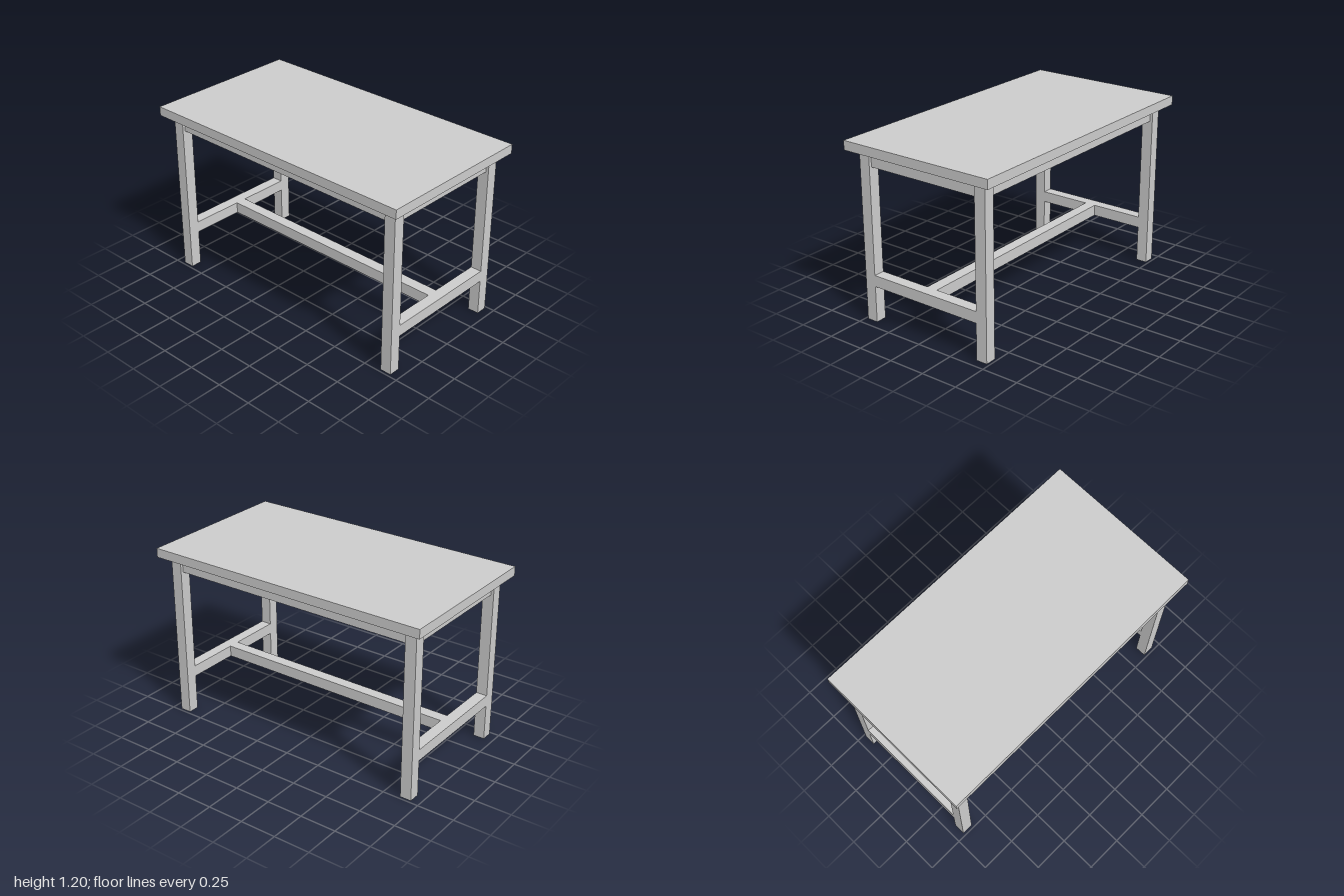
import * as THREE from 'three';

const material = new THREE.MeshStandardMaterial({ color: 0xcccccc });

export function createModel() {
  const model = new THREE.Group();
  model.name = 'table';

  // Box given by its size, its centre in x and z, and its bottom height
  const addBox = (name, [w, h, d], [x, bottom, z]) => {
    const mesh = new THREE.Mesh(new THREE.BoxGeometry(w, h, d), material);
    mesh.name = name;
    mesh.position.set(x, bottom + h / 2, z);
    model.add(mesh);
  };

  const leg = 0.077;                    // square section of legs and stretchers
  const legX = 0.9015, legZ = 0.4435;   // leg centres
  const topBottom = 1.138;              // underside of the table top
  const apronHeight = 0.1, apronThick = 0.04;
  const stretcherY = 0.248;
  const spanX = 2 * legX - leg, spanZ = 2 * legZ - leg;   // clear gaps between legs

  addBox('tableTop', [2, 0.062, 1.1], [0, topBottom, 0]);

  for (const s of [1, -1]) {
    const side = s > 0 ? 'left' : 'right';
    const end = s > 0 ? 'front' : 'back';

    // Legs
    addBox(side + 'FrontLeg', [leg, topBottom, leg], [s * legX, 0, legZ]);
    addBox(side + 'BackLeg', [leg, topBottom, leg], [s * legX, 0, -legZ]);

    // Aprons under the top, centred on the legs
    addBox(end + 'Apron', [spanX, apronHeight, apronThick], [0, topBottom - apronHeight, s * legZ]);
    addBox(side + 'Apron', [apronThick, apronHeight, spanZ], [s * legX, topBottom - apronHeight, 0]);

    // Side stretchers, flush with the legs
    addBox(side + 'Stretcher', [leg, leg, spanZ], [s * legX, stretcherY, 0]);
  }

  // Long stretcher joining the two side stretchers
  addBox('centreStretcher', [spanX, leg, leg], [0, stretcherY, 0]);

  return model;
}
